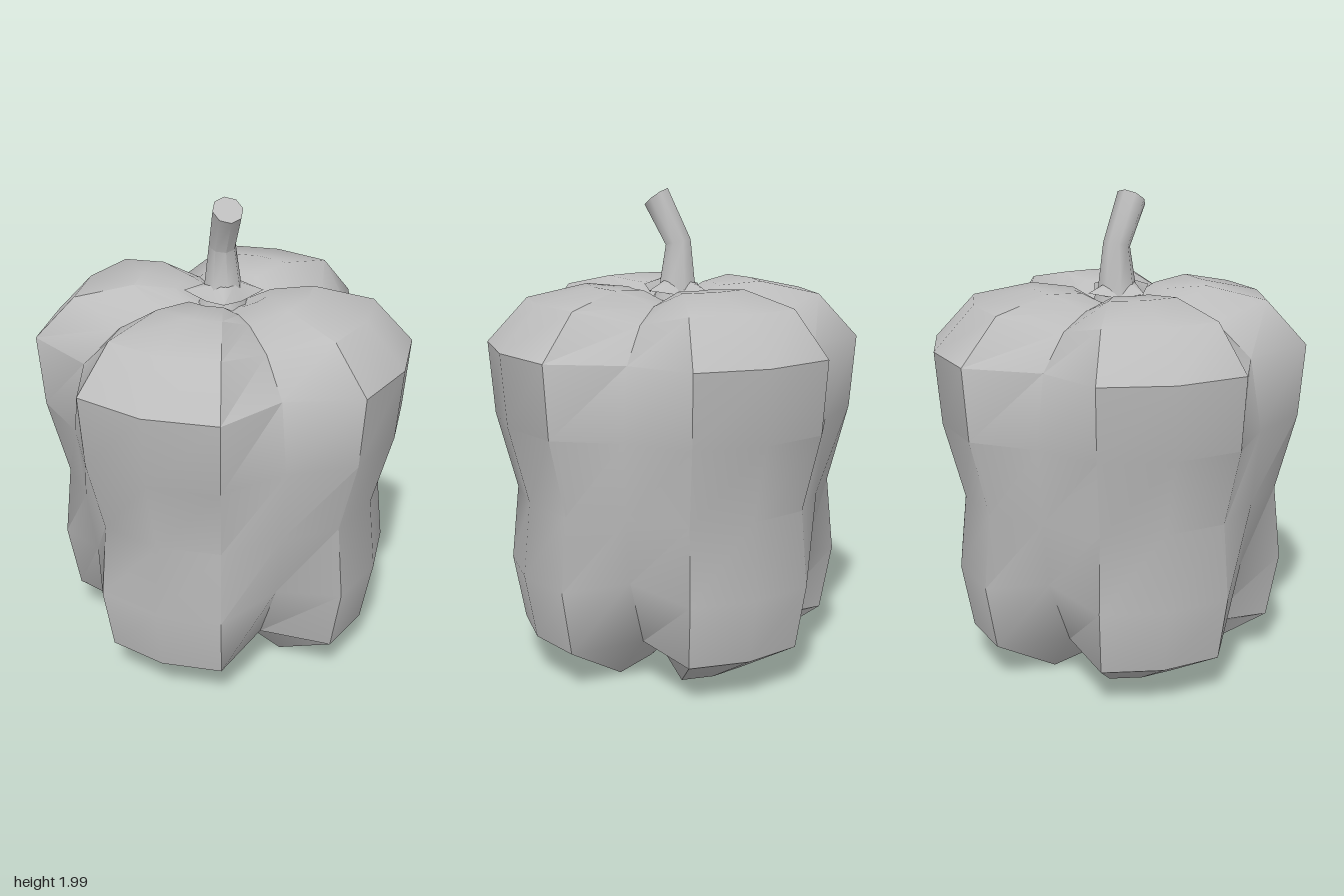
import * as THREE from 'three';
import { toCreasedNormals } from 'three/addons/utils/BufferGeometryUtils.js';

// Surface through closed rings of points, listed from bottom to top
function loft(rings, crease) {
  const n = rings[0].length;
  const index = [];
  for (let j = 0; j < rings.length - 1; j++) {
    for (let i = 0; i < n; i++) {
      const k = (i + 1) % n;
      const a = j * n + i, b = j * n + k, c = b + n, d = a + n;
      index.push(a, b, c, a, c, d);
    }
  }
  const geometry = new THREE.BufferGeometry().setFromPoints(rings.flat());
  geometry.setIndex(index);
  return toCreasedNormals(geometry, crease);
}

function polar(angle, radius, y) {
  return new THREE.Vector3(Math.sin(angle) * radius, y, Math.cos(angle) * radius);
}

// Four lobes: three full points and one groove point in each quarter turn
function createBody() {
  // lobe radius, lobe height, groove radius, groove height
  const rows = [
    [0.002, 0.08, 0.002, 0.08],
    [0.15, 0.025, 0.1, 0.08],
    [0.35, 0.008, 0.2, 0.1],
    [0.64, 0.18, 0.42, 0.2],
    [0.69, 0.45, 0.575, 0.5],
    [0.66, 0.76, 0.615, 0.77],
    [0.745, 1.08, 0.645, 1.08],
    [0.77, 1.38, 0.595, 1.37],
    [0.605, 1.56, 0.44, 1.5],
    [0.36, 1.615, 0.27, 1.55],
    [0.19, 1.6, 0.16, 1.55],
    [0.1, 1.55, 0.09, 1.54],
    [0.002, 1.54, 0.002, 1.54],
  ];
  const rings = rows.map(([lobeR, lobeY, grooveR, grooveY]) => {
    const ring = [];
    for (let i = 0; i < 16; i++) {
      const angle = THREE.MathUtils.degToRad(-17.4 + i * 22.5);
      const groove = i % 4 === 3;
      ring.push(polar(angle, groove ? grooveR : lobeR, groove ? grooveY : lobeY));
    }
    return ring;
  });
  return loft(rings, THREE.MathUtils.degToRad(42));
}

// Octagonal stalk that bends towards the front left and ends in a slanted cut
function createStem() {
  const sections = [
    { centre: [-0.005, 1.53, -0.005], radius: 0.11, tilt: 0 },
    { centre: [-0.01, 1.61, -0.01], radius: 0.078, tilt: 0 },
    { centre: [-0.013, 1.78, -0.012], radius: 0.056, tilt: 0.25 },
    { centre: [0.052, 1.958, 0.062], radius: 0.062, tilt: 0.65 },
    { centre: [0.052, 1.958, 0.062], radius: 0.001, tilt: 0.65 },
  ];
  const bendAxis = new THREE.Vector3(1, 0, -1).normalize();
  const rings = sections.map(({ centre, radius, tilt }) =>
    Array.from({ length: 8 }, (_, i) =>
      polar((i / 8) * Math.PI * 2, radius, 0)
        .applyAxisAngle(bendAxis, tilt)
        .add(new THREE.Vector3(...centre))));
  return loft(rings, THREE.MathUtils.degToRad(50));
}

// Small pointed collar around the foot of the stalk
function createCalyx() {
  const outer = [], inner = [];
  for (let i = 0; i < 8; i++) {
    const angle = (i / 8) * Math.PI * 2 + 0.5;
    const tip = i % 2 === 0;
    outer.push(polar(angle, tip ? 0.16 : 0.1, tip ? 1.595 : 1.575));
    inner.push(polar(angle, 0.06, 1.63));
  }
  return loft([outer, inner], THREE.MathUtils.degToRad(50));
}

export function createModel() {
  const grey = new THREE.MeshStandardMaterial({ color: 0xbcbcbc, side: THREE.DoubleSide });
  grey.name = 'plain grey';

  const group = new THREE.Group();
  group.name = 'bellPepper';
  const parts = { body: createBody(), stem: createStem(), calyx: createCalyx() };
  for (const [name, geometry] of Object.entries(parts)) {
    const mesh = new THREE.Mesh(geometry, grey);
    mesh.name = name;
    group.add(mesh);
  }
  return group;
}
